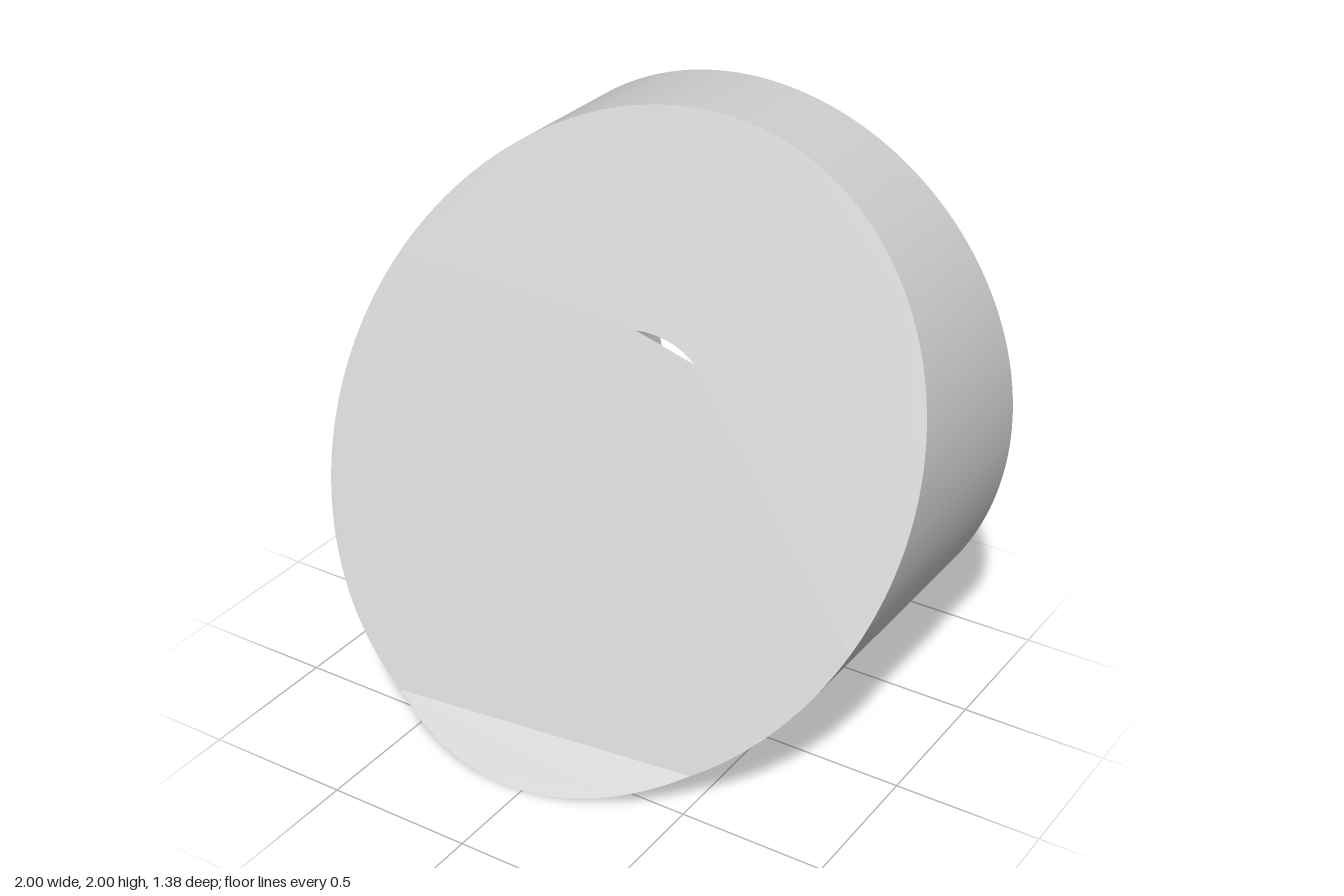
import * as THREE from 'three';

const BACK = -0.69, BORE_R = 0.35, BORE_END = -0.03;
const KINK_L = THREE.MathUtils.degToRad(238), KINK_R = THREE.MathUtils.degToRad(300.7);

// Points on a circle between two angles
function arc(r, a0, a1, n) {
  return Array.from({ length: n + 1 }, (_, i) => {
    const a = a0 + (a1 - a0) * i / n;
    return new THREE.Vector2(r * Math.cos(a), r * Math.sin(a));
  });
}

const [left] = arc(1, KINK_L, KINK_L, 1), [right] = arc(1, KINK_R, KINK_R, 1);

// Depth of the slanted front, steeper below the crease (y measured from the axis)
function frontZ(x, y) {
  const creaseY = left.y + (x - left.x) * (right.y - left.y) / (right.x - left.x);
  return 0.135 - 0.135 * x - 0.48 * y + Math.max(0, 0.42 * (creaseY - y));
}

// Flat outline lifted onto the slanted front
function slanted(shape) {
  const g = new THREE.ShapeGeometry(shape);
  const p = g.attributes.position;
  for (let i = 0; i < p.count; i++) p.setZ(i, frontZ(p.getX(i), p.getY(i)));
  g.computeVertexNormals();
  return g;
}

// Round wall along z; its front edge follows a depth rule
function wall(r, inward, rule) {
  const ends = [new THREE.Vector2(r, BACK), new THREE.Vector2(r, 0)];
  const g = new THREE.LatheGeometry(inward ? ends.reverse() : ends, 192);
  g.rotateX(Math.PI / 2);
  const p = g.attributes.position;
  for (let i = 0; i < p.count; i++) {
    if (p.getZ(i) > BACK / 2) p.setZ(i, rule(p.getX(i), p.getY(i)));
  }
  return g;
}

export function createModel() {
  const model = new THREE.Group();
  model.name = 'slantedBoredCylinder';
  const grey = new THREE.MeshStandardMaterial({ color: 0xcccccc });
  grey.name = 'light grey';

  const add = (name, geometry) => {
    const m = new THREE.Mesh(geometry, grey);
    m.name = name;
    m.position.y = 1;
    model.add(m);
  };

  // Slit where the bore breaks through the slanted face
  const mid = Math.atan2(0.48, 0.135);
  const half = Math.acos((0.135 - BORE_END) / BORE_R / Math.hypot(0.48, 0.135));
  const s0 = mid - half, s1 = mid + half;

  // Main slanted face with the slit, and the steeper facet below it
  const main = new THREE.Shape(arc(1, KINK_R - 2 * Math.PI, KINK_L, 160));
  main.holes.push(new THREE.Path(arc(BORE_R, s0, s1, 24)));
  add('slantedFace', slanted(main));
  add('lowerFacet', slanted(new THREE.Shape(arc(1, KINK_L, KINK_R, 40))));

  // Outer wall and back ring
  add('outerWall', wall(1, false, frontZ));
  const ring = new THREE.RingGeometry(BORE_R, 1, 192);
  ring.rotateY(Math.PI);
  ring.translate(0, 0, BACK);
  add('backRing', ring);

  // Bore wall, trimmed at the slit, and the bore floor facing the back
  add('boreWall', wall(BORE_R, true, (x, y) => Math.min(BORE_END, frontZ(x, y))));
  const floor = new THREE.ShapeGeometry(new THREE.Shape(
    arc(BORE_R, Math.PI - s0, Math.PI - s1 - 2 * Math.PI + 4 * half, 1).length
      ? arc(BORE_R, Math.PI - s0, 3 * Math.PI - s1, 120) : []));
  floor.rotateY(Math.PI);
  floor.translate(0, 0, BORE_END);
  add('boreFloor', floor);

  return model;
}
